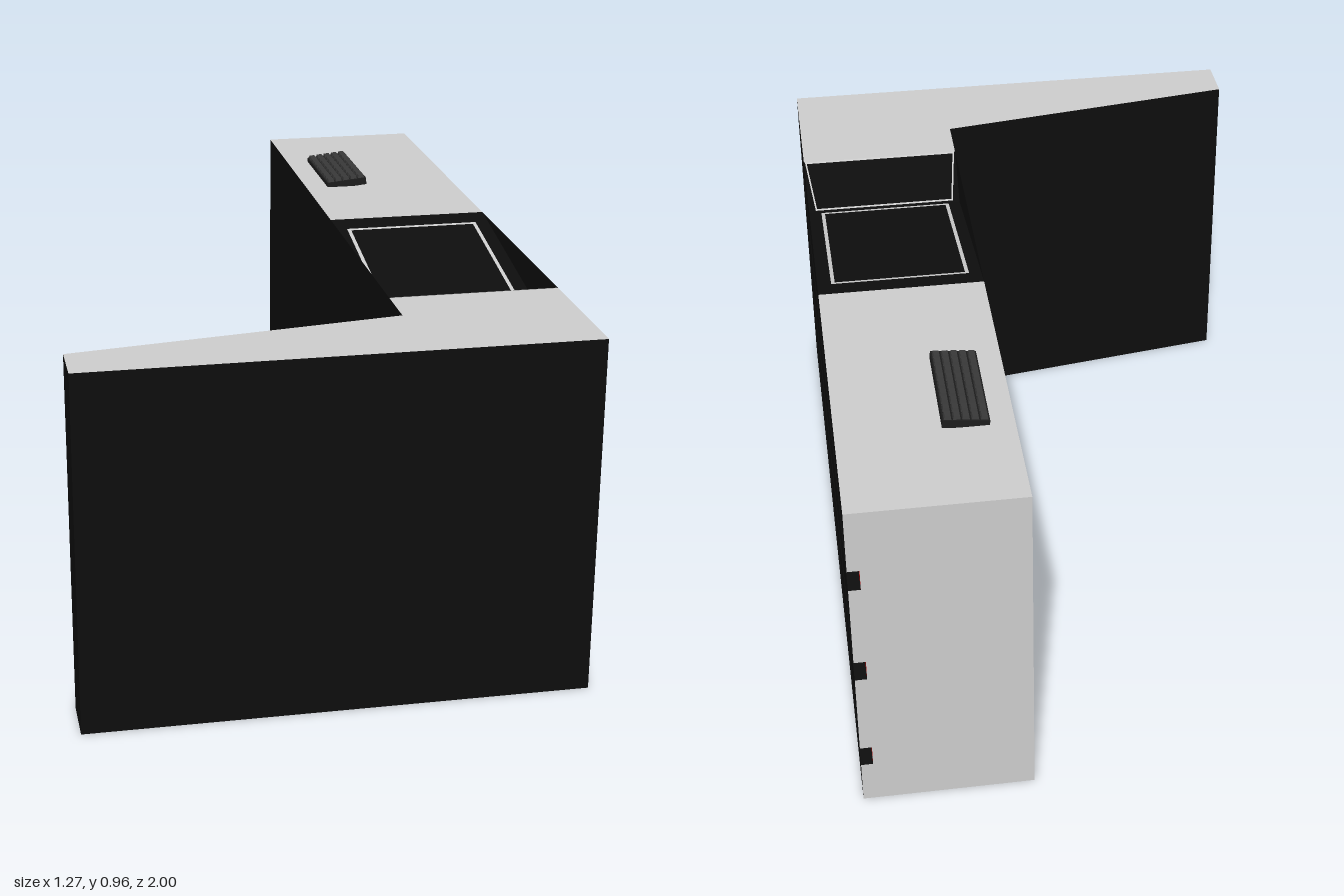
import * as THREE from 'three';
import { mergeGeometries } from 'three/addons/utils/BufferGeometryUtils.js';

const X = 0.637, IN = 0.2, H = 0.928, BACK = 0.607;   // half width, inner side, height, groove back
const Z0 = -0.085, Z1 = 0.52, Z2 = 0.61, DEEP = 0.813; // recess start, valley, end, valley height
const GROOVES = [[0.12, 0.178], [0.41, 0.467], [0.697, 0.755]];

const material = color => new THREE.MeshStandardMaterial({ color, side: THREE.DoubleSide });

// Flat polygon as a triangle fan around its first corner
function poly(pts) {
  const pos = [];
  for (let i = 1; i < pts.length - 1; i++) pos.push(...pts[0], ...pts[i], ...pts[i + 1]);
  const g = new THREE.BufferGeometry();
  g.setAttribute('position', new THREE.Float32BufferAttribute(pos, 3));
  g.computeVertexNormals();
  return g;
}

// Horizontal polygon from [x, z] corners
const flat = (pts, y) => poly(pts.map(([x, z]) => [x, y, z]));

// Upright panel over the floor line p -> q
const wall = ([px, pz], [qx, qz], y0 = 0, y1 = H) =>
  poly([[px, y0, pz], [qx, y0, qz], [qx, y1, qz], [px, y1, pz]]);

// Closed line between two four-cornered loops, laid on the surface heightAt(z)
function outline(outer, inner, heightAt) {
  const at = ([x, z]) => [x, heightAt(z) + 0.002, z];
  return mergeGeometries(outer.map((p, i) => {
    const j = (i + 1) % 4;
    return poly([at(p), at(outer[j]), at(inner[j]), at(inner[i])]);
  }));
}

const rect = (x0, x1, z0, z1) => [[x0, z0], [x0, z1], [x1, z1], [x1, z0]];

export function createModel() {
  const model = new THREE.Group();
  const black = material(0x0d0d0d), grey = material(0xcccccc), red = material(0xcc0d0d);
  const add = (name, parts, mat, parent = model) => {
    const mesh = new THREE.Mesh(mergeGeometries([].concat(parts)), mat);
    mesh.name = name;
    parent.add(mesh);
    return mesh;
  };

  // Plain outer walls and the underside
  add('frontPanel', wall([-X, 1], [X, 1]), black);
  add('innerPanels', [
    wall([IN, -1], [IN, 0.745]), wall([IN, 0.745], [-X, 0.87]), wall([-X, 0.87], [-X, 1]),
  ], black);
  add('underside', flat([[IN, 0.745], [IN, -1], [X, -1], [X, 1], [-X, 1], [-X, 0.87]], 0), black);

  // Grooved outer side with red strips, and the end panel notched by the grooves
  const side = [], ledges = [], strips = [], end = [wall([BACK, -1], [IN, -1])];
  let from = 0;
  for (const [y0, y1] of [...GROOVES, [H, H]]) {
    side.push(wall([X, 1], [X, -1], from, y0));
    end.push(wall([X, -1], [BACK, -1], from, y0));
    from = y1;
    if (y0 === H) break;
    strips.push(wall([BACK, 1], [BACK, -1], y0, y1));
    ledges.push(flat(rect(BACK, X, -1, 1), y0), flat(rect(BACK, X, -1, 1).reverse(), y1));
  }
  add('outerSide', side, black);
  add('grooveLedges', ledges, black);
  add('grooveStrips', strips, red);
  add('endPanel', end, grey);

  // Counter tops on both sides of the recess
  add('rearTop', flat(rect(IN, X, -1, Z0), H), grey);
  add('frontTop', flat([[IN, 0.745], [-X, 0.87], [-X, 1], [X, 1], [X, Z2], [IN, Z2]], H), grey);

  // Recess: gentle screen slope and steep slope, with bright outlines
  const screenY = z => H + (DEEP - H) * (z - Z0) / (Z1 - Z0);
  const steepY = z => DEEP + (H - DEEP) * (z - Z1) / (Z2 - Z1);
  const slope = (a, b, f) => poly(rect(IN, X, a, b).map(([x, z]) => [x, f(z), z]));
  add('screenSlope', slope(Z0, Z1, screenY), black);
  add('steepSlope', slope(Z1, Z2, steepY), black);
  add('screenOutline',
    outline(rect(0.233, 0.6, -0.024, 0.508), rect(0.243, 0.59, -0.014, 0.498), screenY), grey);
  add('steepOutline', outline(
    [[0.219, 0.522], [0.203, 0.609], [0.634, 0.609], [0.615, 0.522]],
    [[0.223, 0.525], [0.208, 0.606], [0.629, 0.606], [0.611, 0.525]], steepY), grey);

  // Keyboard, tilted up towards the outer side
  const keyboard = new THREE.Group();
  keyboard.name = 'keyboard';
  keyboard.position.set(0.32, H + 0.008, -0.565);
  keyboard.rotation.z = 0.1;
  model.add(keyboard);
  add('keyboardBase', new THREE.BoxGeometry(0.116, 0.02, 0.295), material(0x1c1c1c), keyboard);
  const keys = [];
  for (let i = 0; i < 5; i++) for (let j = 0; j < 9; j++) {
    const key = new THREE.CylinderGeometry(0.0105, 0.0135, 0.009, 4, 1).rotateY(Math.PI / 4);
    keys.push(key.toNonIndexed().scale(1, 1, 1.45)
      .translate((i - 2) * 0.0225, 0.0135, (j - 4) * 0.0322));
  }
  const keyMat = material(0x383838);
  keyMat.flatShading = true;
  add('keys', keys, keyMat, keyboard);

  return model;
}
